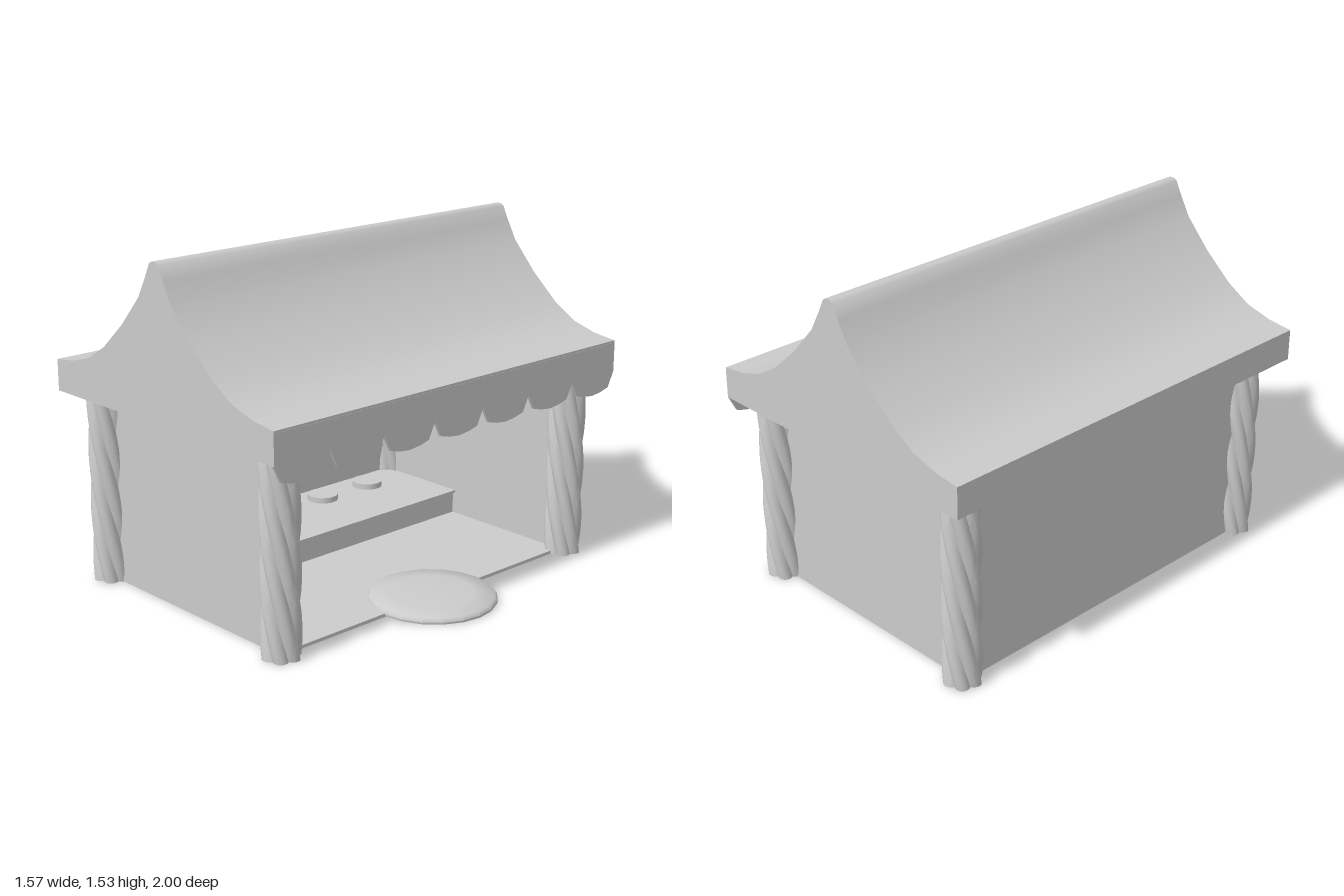
import * as THREE from 'three';
import { toCreasedNormals } from 'three/addons/utils/BufferGeometryUtils.js';

const material = new THREE.MeshStandardMaterial({ color: 0xcccccc });

export function createModel() {
  const group = new THREE.Group();

  const add = (name, geometry, x = 0, y = 0, z = 0) => {
    const mesh = new THREE.Mesh(geometry, material);
    mesh.name = name;
    mesh.position.set(x, y, z);
    group.add(mesh);
    return mesh;
  };
  // box given by its lower and upper corners
  const box = (name, x0, x1, y0, y1, z0, z1) =>
    add(name, new THREE.BoxGeometry(x1 - x0, y1 - y0, z1 - z0),
      (x0 + x1) / 2, (y0 + y1) / 2, (z0 + z1) / 2);

  // Roof: concave gable swept along z
  const half = [[0.7125, 0.86], [0.7125, 1], [0.595, 1.015], [0.475, 1.05], [0.36, 1.12],
    [0.225, 1.24], [0.108, 1.37], [0.058, 1.46], [0.028, 1.52], [0.012, 1.53]];
  const outline = [...half, ...half.map(([x, y]) => [-x, y]).reverse()];
  const roofShape = new THREE.Shape(outline.map(([x, y]) => new THREE.Vector2(x, y)));
  const roof = new THREE.ExtrudeGeometry(roofShape, { depth: 2, bevelEnabled: false });
  add('roof', toCreasedNormals(roof, 1.0), -0.0725, 0, -1);

  // Scalloped valance hanging over the open side
  const scallops = 7, pitch = 2 / scallops;
  const valanceShape = new THREE.Shape();
  valanceShape.moveTo(1, 0.99);
  valanceShape.lineTo(-1, 0.99);
  for (let i = 0; i < scallops; i++) {
    const c = -1 + pitch * (i + 0.5);
    for (const [u, y] of [[-pitch / 2, 0.86], [-0.108, 0.79], [-0.06, 0.777], [0, 0.77],
      [0.06, 0.777], [0.108, 0.79]]) valanceShape.lineTo(c + u, y);
  }
  valanceShape.lineTo(1, 0.86);
  const valance = new THREE.ExtrudeGeometry(valanceShape, { depth: 0.013, bevelEnabled: false });
  valance.rotateY(Math.PI / 2);
  add('valance', valance, 0.628);

  // Floor and the three walls
  box('floor', -0.645, 0.5, 0, 0.015, -0.855, 0.855);
  box('backWall', -0.66, -0.63, 0, 0.87, -0.855, 0.855);
  for (const s of [-1, 1]) {
    const wall = box('sideWall', -0.65, 0.5, 0, 0.87, -0.015, 0.015);
    wall.position.z = s * 0.84;
  }

  // Twisted columns: six rounded strands winding upwards
  const height = 0.87, twist = (Math.PI / 3) / 0.25;
  const column = new THREE.CylinderGeometry(1, 1, height, 48, 28);
  column.translate(0, height / 2, 0);
  const p = column.attributes.position;
  for (let i = 0; i < p.count; i++) {
    const y = p.getY(i), radius = Math.hypot(p.getX(i), p.getZ(i));
    const local = Math.atan2(p.getZ(i), p.getX(i));
    const r = radius * (0.064 + 0.021 * Math.abs(Math.sin(3 * local)));
    const angle = local + twist * (y - 0.19);
    p.setXYZ(i, r * Math.cos(angle), y, r * Math.sin(angle));
  }
  const columnGeometry = toCreasedNormals(column, 0.6);
  for (const x of [-0.645, 0.5])
    for (const z of [-0.855, 0.855]) add('column', columnGeometry, x, 0, z);

  // Low bench along the back with a thin top board
  box('bench', -0.64, -0.17, 0.01, 0.118, -0.83, 0.83);
  box('benchTop', -0.64, -0.155, 0.118, 0.13, -0.83, 0.83);

  // Row of four small round plates above the bench
  const plate = new THREE.CylinderGeometry(0.071, 0.071, 0.026, 20);
  for (let i = 0; i < 4; i++) add('plate', plate, -0.36, 0.212, -0.4275 + 0.285 * i);

  // Domed round mat at the opening
  const mat = new THREE.LatheGeometry([[0, 0.002], [0.28, 0.002], [0.283, 0.012], [0.272, 0.028],
    [0.18, 0.037], [0, 0.042]].map(([r, y]) => new THREE.Vector2(r, y)), 20);
  add('mat', toCreasedNormals(mat, 0.9), 0.5);

  return group;
}
